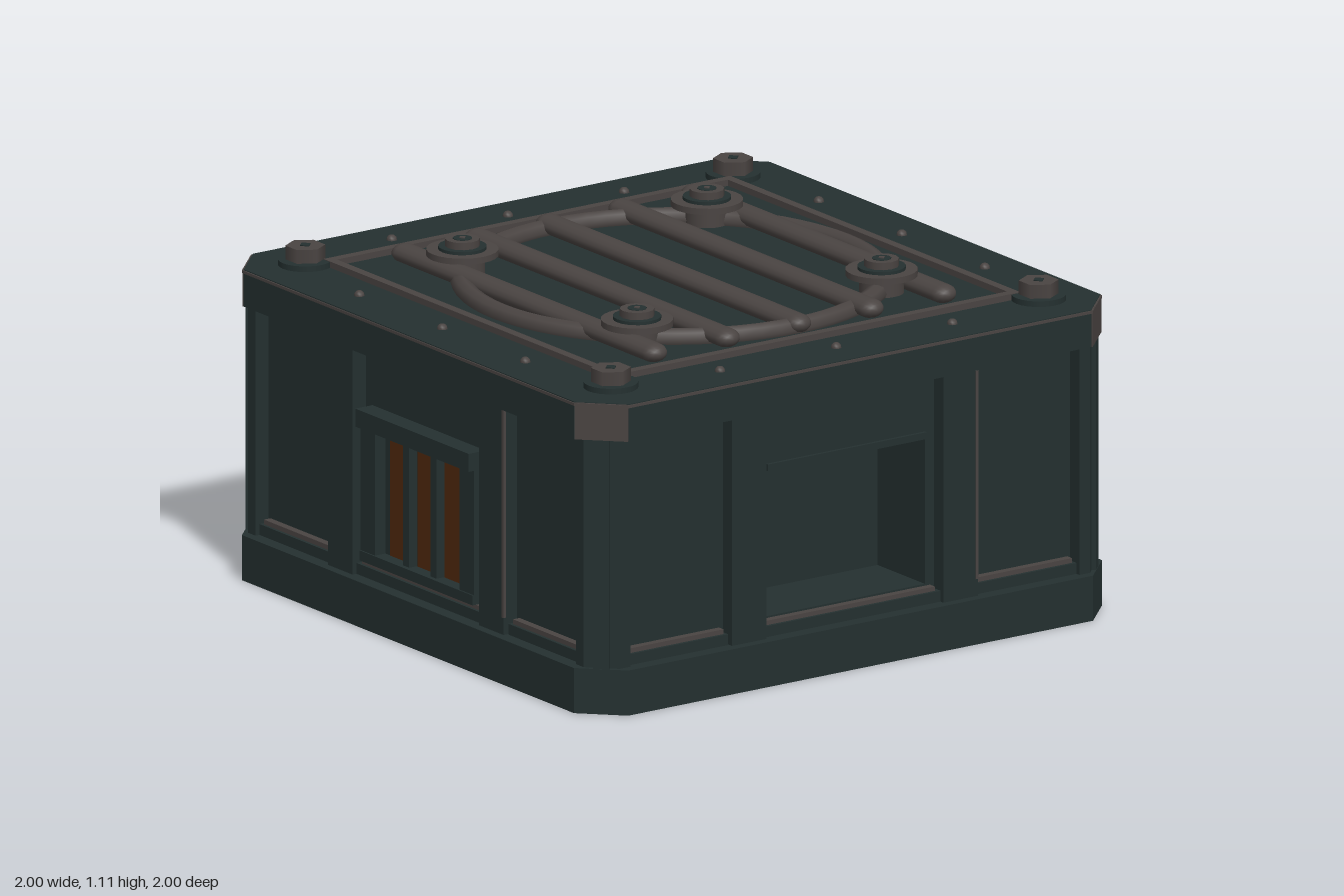
import * as THREE from 'three';

export function createModel() {
  const model = new THREE.Group();
  model.name = 'ventCrate';
  const mat = (name, color) => Object.assign(new THREE.MeshStandardMaterial({ color }), { name });
  const green = mat('darkGreen', 0x243030);
  const metal = mat('wornMetal', 0x4a4442);
  const amber = mat('amberGlow', 0x50280d);

  const add = (parent, name, geo, m, x = 0, y = 0, z = 0) => {
    const mesh = new THREE.Mesh(geo, m);
    mesh.name = name;
    mesh.position.set(x, y, z);
    parent.add(mesh);
    return mesh;
  };
  // box given by its limits
  const box = (parent, name, m, x0, x1, y0, y1, z0, z1) =>
    add(parent, name, new THREE.BoxGeometry(x1 - x0, y1 - y0, z1 - z0), m,
      (x0 + x1) / 2, (y0 + y1) / 2, (z0 + z1) / 2);
  const outline = pts => new THREE.Shape(pts.map(p => new THREE.Vector2(...p)));
  // plan outline raised from y0 to y1
  const raise = (shape, y0, y1) =>
    new THREE.ExtrudeGeometry(shape, { depth: y1 - y0, bevelEnabled: false, curveSegments: 8 })
      .rotateX(-Math.PI / 2).translate(0, y0, 0);
  const octagon = (h, c) => outline([[h, c - h], [h, h - c], [h - c, h], [c - h, h],
    [-h, h - c], [-h, c - h], [c - h, -h], [h - c, -h]]);
  const disc = (parent, name, m, r, y0, y1, x, z, sides = 24) =>
    add(parent, name, new THREE.CylinderGeometry(r, r, y1 - y0, sides), m, x, (y0 + y1) / 2, z);

  // Plinth, lid and inner core
  add(model, 'plinth', raise(octagon(1, 0.12), 0, 0.145), green);
  add(model, 'lid', raise(octagon(0.996, 0.12), 0.88, 1), green);
  add(model, 'lidRim', raise(octagon(1, 0.12), 0.988, 0.997), metal);
  box(model, 'core', green, -0.67, 0.67, 0.14, 0.89, -0.67, 0.67);

  // One wall with its alcove, pillars and ledges, repeated on four sides
  for (let i = 0; i < 4; i++) {
    const side = new THREE.Group();
    side.name = 'side' + i;
    side.rotation.y = i * Math.PI / 2;
    model.add(side);

    const wall = outline([[-0.91, 0.14], [0.91, 0.14], [0.91, 0.885], [-0.91, 0.885]]);
    wall.holes.push(new THREE.Path([[-0.3, 0.2], [-0.3, 0.69], [0.3, 0.69], [0.3, 0.2]]
      .map(p => new THREE.Vector2(...p))));
    add(side, 'wall', new THREE.ExtrudeGeometry(wall, { depth: 0.25, bevelEnabled: false }), green, 0, 0, 0.67);
    box(side, 'alcoveLip', green, -0.3, 0.3, 0.668, 0.69, 0.85, 0.93);

    for (const s of [-1, 1]) {
      box(side, 'pillar', green, s * 0.4 - 0.065, s * 0.4 + 0.065, 0.14, 0.885, 0.9, 0.97);
      box(side, 'panelLedge', green, s * 0.66 - 0.19, s * 0.66 + 0.19, 0.14, 0.18, 0.9, 0.955);
      box(side, 'panelTrim', metal, s * 0.66 - 0.18, s * 0.66 + 0.18, 0.18, 0.195, 0.91, 0.945);
    }
    box(side, 'bayLedge', green, -0.335, 0.335, 0.14, 0.18, 0.9, 0.955);
    box(side, 'bayTrim', metal, -0.32, 0.32, 0.18, 0.194, 0.91, 0.945);
    box(side, 'pillarEdge', metal, 0.456, 0.467, 0.2, 0.87, 0.963, 0.972);

    // Corner post with a rib and the lid's metal corner plate
    add(side, 'cornerPost', raise(outline([[0.85, 0.85], [0.97, 0.85], [0.97, 0.89],
      [0.89, 0.97], [0.85, 0.97]]), 0.14, 0.885), green);
    const rib = add(side, 'cornerRib', new THREE.BoxGeometry(0.05, 0.745, 0.02), green, 0.932, 0.5125, 0.932);
    const plate = add(side, 'cornerPlate', new THREE.BoxGeometry(0.168, 0.118, 0.006), metal, 0.937, 0.939, 0.937);
    rib.rotation.y = plate.rotation.y = Math.PI / 4;
  }

  // Front vent with three glowing slots
  const vent = new THREE.Group();
  vent.name = 'frontVent';
  model.add(vent);
  box(vent, 'ventBack', green, -0.3, 0.3, 0.2, 0.69, 0.85, 0.925);
  box(vent, 'ventHood', green, -0.3, 0.3, 0.632, 0.69, 0.9, 0.985);
  box(vent, 'ventSill', green, -0.3, 0.3, 0.2, 0.232, 0.9, 0.97);
  for (const s of [-1, 1]) {
    box(vent, 'ventJamb', green, s * 0.262 - 0.038, s * 0.262 + 0.038, 0.232, 0.632, 0.9, 0.965);
    box(vent, 'ventSlat', green, s * 0.0725 - 0.016, s * 0.0725 + 0.016, 0.232, 0.632, 0.9, 0.955);
  }
  for (const x of [-0.145, 0, 0.145])
    box(vent, 'glowSlot', amber, x - 0.045, x + 0.045, 0.235, 0.622, 0.925, 0.932);

  // Raised square border on the lid
  for (const s of [-1, 1]) {
    box(model, 'borderBar', metal, -0.77, 0.77, 0.995, 1.02, s * 0.755 - 0.015, s * 0.755 + 0.015);
    box(model, 'borderBar', metal, s * 0.755 - 0.015, s * 0.755 + 0.015, 0.995, 1.02, -0.74, 0.74);
  }

  // Ring and grille bars
  const ring = add(model, 'grilleRing', new THREE.TorusGeometry(0.652, 0.033, 8, 64), metal, 0, 1.012, 0);
  ring.rotation.x = Math.PI / 2;
  for (const z of [-0.555, -0.28, -0.005, 0.265, 0.54]) {
    const geo = new THREE.CapsuleGeometry(0.043, 1.314, 5, 14).rotateZ(Math.PI / 2).scale(1, 0.7, 1);
    add(model, 'grilleBar', geo, metal, 0, 1.027, z);
  }

  // Grille bosses and corner bolts
  for (const sx of [-1, 1]) for (const sz of [-1, 1]) {
    const x = sx * 0.463, z = sz * 0.463;
    disc(model, 'bossFoot', metal, 0.07, 0.99, 1.06, x, z);
    disc(model, 'bossFlange', metal, 0.112, 1.055, 1.075, x, z);
    disc(model, 'bossCollar', green, 0.075, 1.07, 1.085, x, z);
    disc(model, 'bossCap', metal, 0.054, 1.08, 1.108, x, z, 12);
    disc(model, 'bossSocket', green, 0.03, 1.105, 1.11, x, z, 12);
    disc(model, 'bossPin', metal, 0.012, 1.108, 1.112, x, z, 4);

    disc(model, 'boltWasher', green, 0.085, 0.99, 1.018, sx * 0.81, sz * 0.81);
    disc(model, 'boltHead', metal, 0.062, 1.01, 1.062, sx * 0.81, sz * 0.81, 6).rotation.y = Math.PI / 6;
    disc(model, 'boltSocket', green, 0.02, 1.06, 1.065, sx * 0.81, sz * 0.81, 4);
  }

  // Rivets along the lid edges
  const rivet = new THREE.SphereGeometry(0.017, 10, 6);
  for (const s of [-1, 1]) for (const t of [-0.44, 0, 0.44]) {
    add(model, 'rivet', rivet, metal, t, 1, s * 0.87);
    add(model, 'rivet', rivet, metal, s * 0.87, 1, t);
  }
  return model;
}
